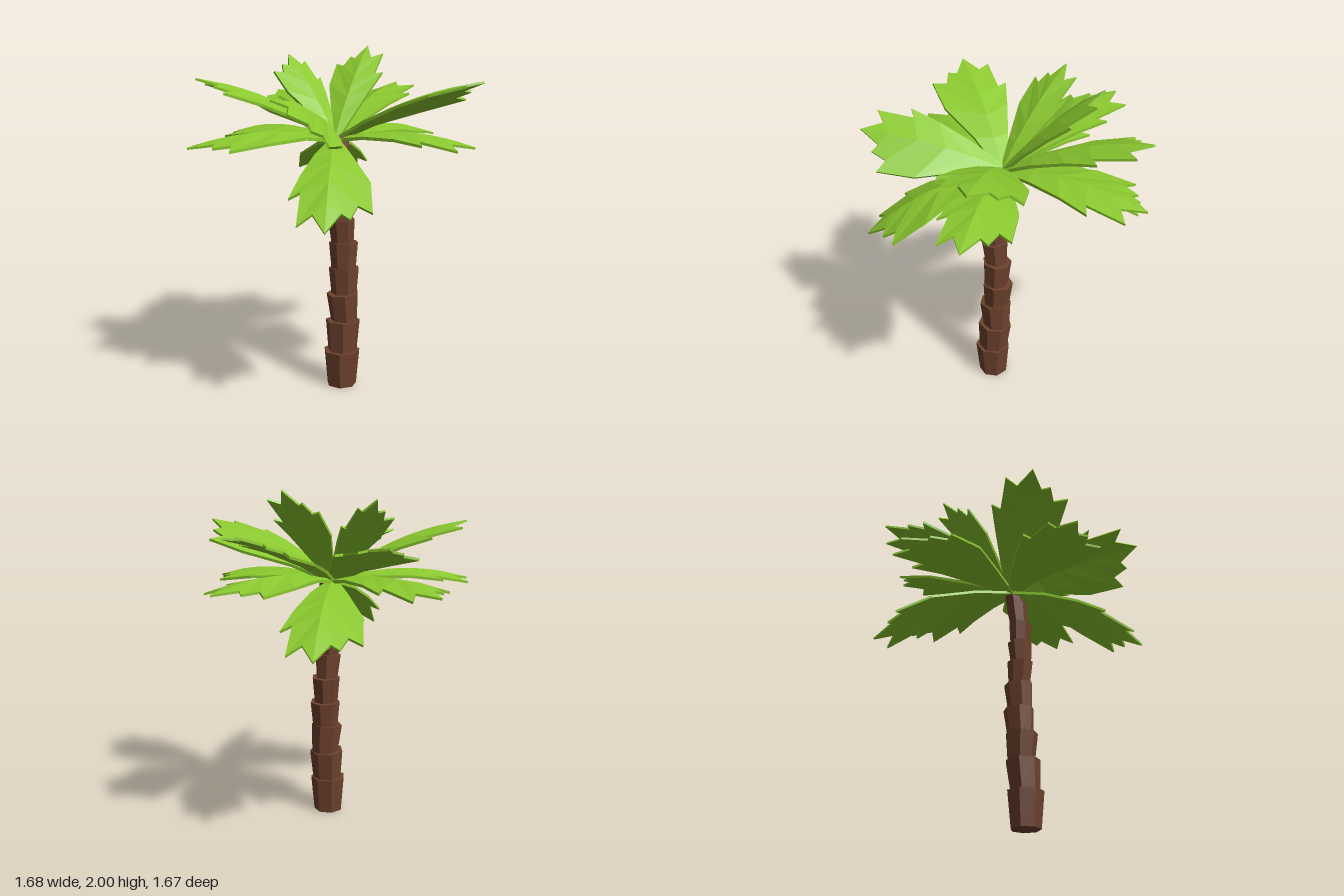
import * as THREE from 'three';

const leafGreen = new THREE.MeshStandardMaterial({ color: 0x8bc92f });
leafGreen.name = 'leaf green';
const barkBrown = new THREE.MeshStandardMaterial({ color: 0x6e422e });
barkBrown.name = 'bark brown';

// Half outlines of a frond: [distance along, half width] for unit length
const RIGHT = [[0, 0.03], [0.25, 0.12], [0.55, 0.25], [0.81, 0.268], [0.77, 0.18], [0.88, 0.14], [0.85, 0.085], [1, 0]];
const LEFT = [[0, 0.03], [0.25, 0.11], [0.5, 0.18], [0.71, 0.235], [0.67, 0.165], [0.93, 0.17], [0.86, 0.08], [1, 0]];
const RIB = [0, 0.22, 0.4, 0.5, 0.6, 0.7, 0.8, 1];

// Arched, jagged leaf slab running along +z
function frondGeometry(length, arch, width, thickness = 0.02) {
  const pos = [];
  const point = (u, v, down) => [
    v * width * length,
    arch * 4 * u * (1 - u) - Math.abs(v) * 0.18 * length - (down ? thickness * (1 - 0.4 * u) : 0),
    u * length,
  ];
  const tri = (a, b, c, flip) => pos.push(...a, ...(flip ? c : b), ...(flip ? b : c));
  [[RIGHT, 1], [LEFT, -1]].forEach(([outline, s]) => {
    for (let i = 0; i < RIB.length - 1; i++) {
      const last = i === RIB.length - 2;
      const [u0, v0] = outline[i], [u1, v1] = outline[i + 1];
      // upper and lower skins
      for (const down of [false, true]) {
        const m0 = point(RIB[i], 0, down), m1 = point(RIB[i + 1], 0, down);
        const e0 = point(u0, s * v0, down), e1 = point(u1, s * v1, down);
        const flip = (s < 0) !== down;
        if (!last) tri(m0, m1, e1, flip);
        tri(m0, e1, e0, flip);
      }
      // rim
      const a = point(u0, s * v0, false), b = point(u1, s * v1, false);
      const c = point(u1, s * v1, true), d = point(u0, s * v0, true);
      tri(a, b, c, s < 0);
      tri(a, c, d, s < 0);
    }
  });
  const g = new THREE.BufferGeometry();
  g.setAttribute('position', new THREE.Float32BufferAttribute(pos, 3));
  g.computeVertexNormals();
  return g;
}

// Frond from the crown to a tip, rolled about its own rib
function addFrond(parent, name, [x, y, z], arch, roll = 0, width = 1) {
  const hub = new THREE.Vector3(-0.03, 1.475, 0.05);
  const d = new THREE.Vector3(x, y, z).sub(hub);
  const mesh = new THREE.Mesh(frondGeometry(d.length(), arch, width), leafGreen);
  mesh.name = name;
  mesh.position.copy(hub);
  mesh.rotation.order = 'YXZ';
  mesh.rotation.set(-Math.atan2(d.y, Math.hypot(d.x, d.z)), Math.atan2(d.x, d.z), roll);
  parent.add(mesh);
}

export function createModel() {
  const tree = new THREE.Group();
  tree.name = 'palmTree';

  // Trunk rings, each flaring upward: [bottom y, top y, x, z, top radius, tilt]
  const trunk = new THREE.Group();
  trunk.name = 'trunk';
  const rings = [
    [0, 0.215, -0.055, 0.133, 0.108, 0],
    [0.19, 0.395, -0.045, 0.133, 0.104, -0.05],
    [0.37, 0.565, -0.032, 0.128, 0.096, 0.07],
    [0.54, 0.715, -0.024, 0.125, 0.092, -0.04],
    [0.69, 0.87, -0.028, 0.123, 0.087, -0.04],
    [0.85, 1.01, -0.038, 0.118, 0.079, 0.08],
    [0.98, 1.14, -0.046, 0.116, 0.074, -0.04],
    [1.11, 1.265, -0.048, 0.11, 0.07, 0.05],
    [1.24, 1.4, -0.038, 0.102, 0.066, -0.07],
    [1.37, 1.48, -0.025, 0.09, 0.058, -0.15],
  ];
  rings.forEach(([y0, y1, x, z, r, tilt], i) => {
    const g = new THREE.CylinderGeometry(r, r * 0.82, y1 - y0, 7).toNonIndexed();
    g.computeVertexNormals();
    const ring = new THREE.Mesh(g, barkBrown);
    ring.name = 'trunkRing' + (i + 1);
    ring.position.set(x, (y0 + y1) / 2, z);
    ring.rotation.set(-Math.abs(tilt) * 0.6, i * 0.12, tilt);
    trunk.add(ring);
  });
  tree.add(trunk);

  // Crown of fronds: [name, tip, arch, roll, width]
  const crown = new THREE.Group();
  crown.name = 'crown';
  [
    ['levelFrontFrond', [0.27, 1.46, 0.82], 0.06],
    ['levelRightFrond', [0.84, 1.465, -0.03], 0.06],
    ['levelBackFrond', [-0.05, 1.46, -0.83], 0.06],
    ['levelLeftFrond', [-0.84, 1.46, -0.26], 0.06],
    ['risingFrontFrond', [0.33, 1.81, 0.82], 0.05, -0.13],
    ['risingRightFrond', [0.77, 1.77, -0.18], 0.05, -0.13],
    ['risingBackFrond', [0.23, 1.72, -0.74], 0.06, -0.08],
    ['risingBackLeftFrond', [-0.66, 1.82, -0.41], 0.06],
    ['risingFrontLeftFrond', [-0.73, 1.67, 0.43], 0.07, -0.66],
    ['steepRightFrond', [0.47, 2.0, -0.16], 0.03, 0, 0.85],
    ['steepBackFrond', [0.06, 1.95, -0.44], 0.03, 0, 0.85],
    ['droopingFrontLeftFrond', [-0.62, 1.09, 0.57], 0.07],
    ['droopingBackRightFrond', [0.56, 1.16, -0.54], 0.07],
  ].forEach((f) => addFrond(crown, ...f));
  tree.add(crown);
  return tree;
}
